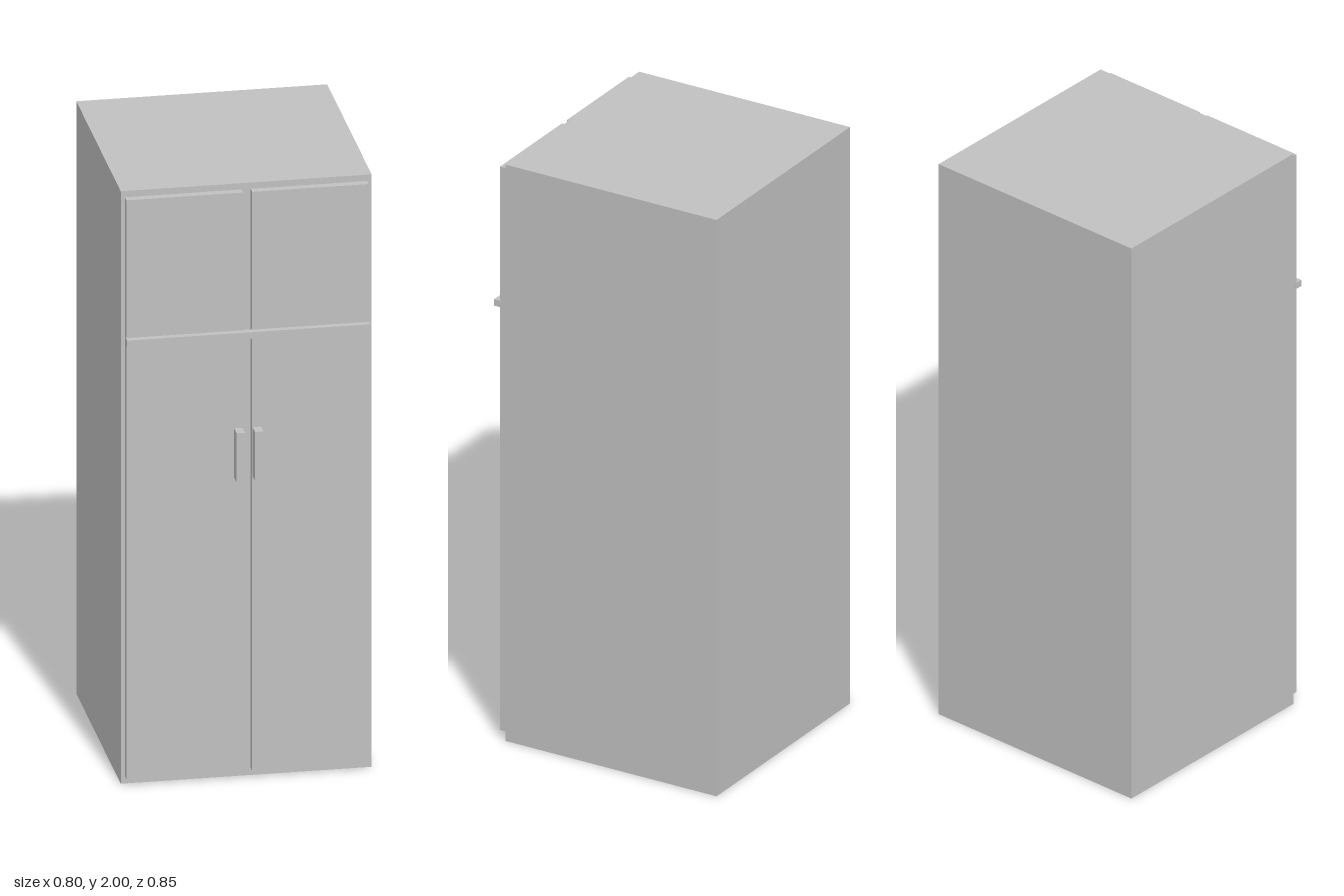
import * as THREE from 'three';

export function createModel() {
  const group = new THREE.Group();
  const grey = new THREE.MeshStandardMaterial({ color: 0xc0c0c0 });
  grey.name = 'light grey';

  // Box given by its minimum and maximum corners
  const box = (name, [x0, y0, z0], [x1, y1, z1]) => {
    const mesh = new THREE.Mesh(new THREE.BoxGeometry(x1 - x0, y1 - y0, z1 - z0), grey);
    mesh.position.set((x0 + x1) / 2, (y0 + y1) / 2, (z0 + z1) / 2);
    mesh.name = name;
    group.add(mesh);
  };

  // Solid carcass
  box('cabinet', [-0.4, 0, -0.425], [0.4, 2, 0.351]);

  // Two tall doors, set just proud of the carcass, with a centre gap
  box('rightDoor', [-0.387, 0.025, 0.354], [-0.016, 1.98, 0.381]);
  box('leftDoor', [0.0135, 0.025, 0.354], [0.385, 1.98, 0.381]);

  // Horizontal trim rail across both doors
  box('trimRail', [-0.389, 1.493, 0.377], [0.387, 1.515, 0.402]);

  // Block handles beside the gap
  box('rightHandle', [-0.044, 1.02, 0.379], [-0.017, 1.186, 0.424]);
  box('leftHandle', [0.015, 1.02, 0.379], [0.042, 1.186, 0.424]);

  return group;
}
